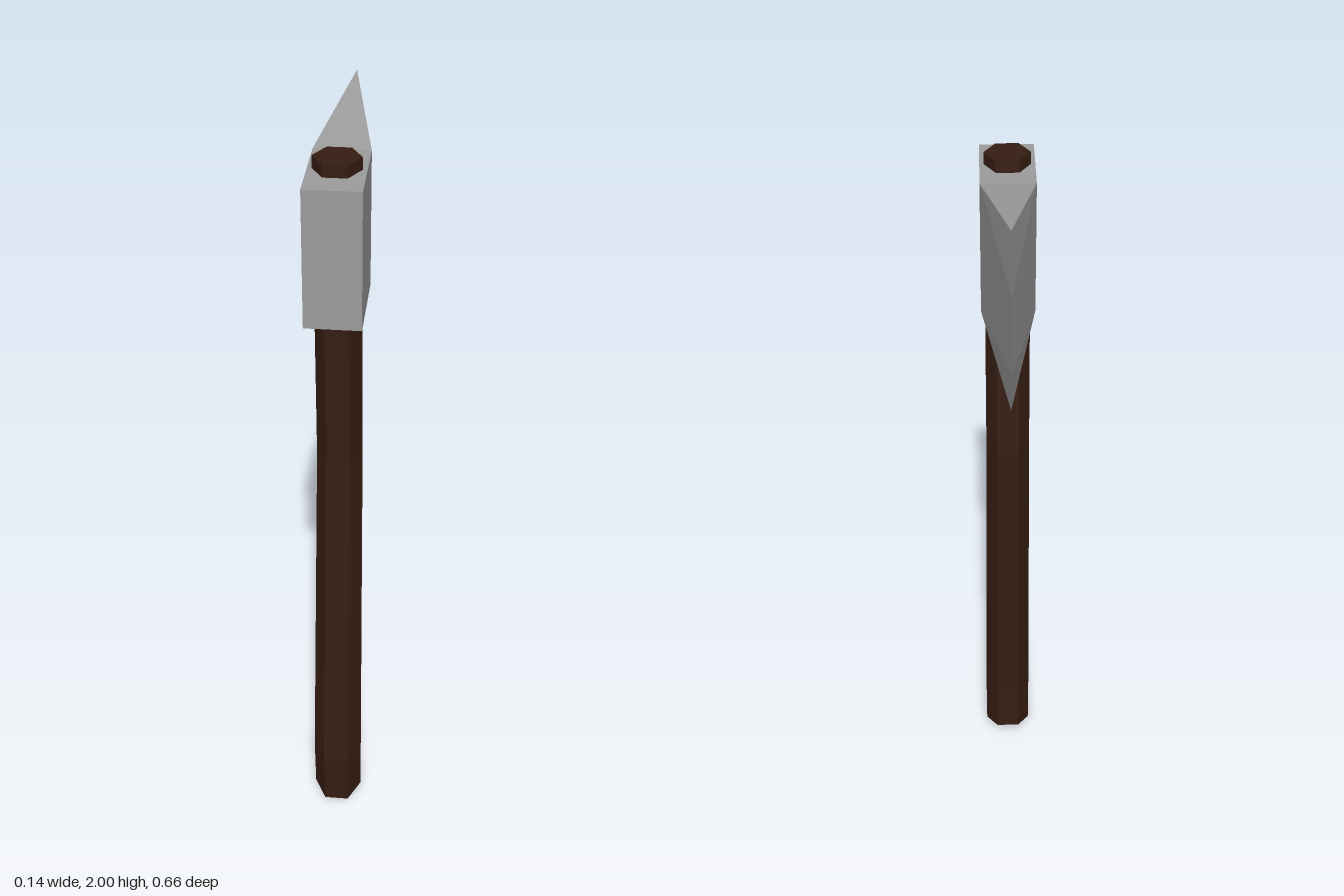
import * as THREE from 'three';

// Flat-shaded geometry from convex polygons (corners counter-clockwise from outside)
function fromPolygons(polygons) {
  const points = [];
  for (const p of polygons) {
    for (let i = 1; i < p.length - 1; i++) points.push(...p[0], ...p[i], ...p[i + 1]);
  }
  const geometry = new THREE.BufferGeometry();
  geometry.setAttribute('position', new THREE.Float32BufferAttribute(points, 3));
  geometry.computeVertexNormals();
  return geometry;
}

// Polygons mirrored across x = 0, with the winding kept outward
const mirrored = (polygons) =>
  polygons.map((p) => p.map(([x, y, z]) => [-x, y, z]).reverse());

// Block with a wedge blade that narrows to a faceted cutting edge
function headGeometry() {
  const w = 0.069, top = 1.942, low = 1.595, front = 0.332, neck = 0.1;
  const A = [w, top, neck], B = [w, low, neck];
  const P = [w, top, front], Q = [w, low, front];
  const edge = [[0, 1.535, -0.272], [0, 1.672, -0.332], [0, 1.866, -0.332], [0, 2, -0.272]];
  const side = [
    [P, Q, B, A],
    [B, edge[0], edge[1]],
    [A, B, edge[1], edge[2]],
    [A, edge[2], edge[3]],
  ];
  const flip = ([x, y, z]) => [-x, y, z];
  const caps = [
    [flip(P), flip(Q), Q, P],
    [flip(A), flip(P), P, A],
    [flip(A), A, edge[3]],
    [B, Q, flip(Q), flip(B)],
    [B, flip(B), edge[0]],
  ];
  return fromPolygons([...side, ...mirrored(side), ...caps]);
}

// Six-sided shaft lofted through rings: [y, z, half width, half depth, tilt]
function handleGeometry() {
  const rings = [
    [0.015, 0.244, 0.066, 0.054, -0.015],
    [0.176, 0.256, 0.067, 0.058, 0],
    [1.143, 0.173, 0.059, 0.05, 0.012],
    [1.973, 0.213, 0.058, 0.052, 0],
  ].map(([y, z, hx, hz, tilt]) =>
    Array.from({ length: 6 }, (_, k) => {
      const a = (k * Math.PI) / 3;
      const s = Math.sin(a) / Math.sin(Math.PI / 3);
      return [hx * Math.cos(a), y + tilt * s, z + hz * s];
    }));
  const polygons = [rings[0], [...rings[rings.length - 1]].reverse()];
  for (let i = 0; i < rings.length - 1; i++) {
    for (let k = 0; k < 6; k++) {
      const n = (k + 1) % 6;
      polygons.push([rings[i][n], rings[i][k], rings[i + 1][k], rings[i + 1][n]]);
    }
  }
  return fromPolygons(polygons);
}

export function createModel() {
  const group = new THREE.Group();
  group.name = 'axe';

  const steel = new THREE.MeshStandardMaterial({ color: 0x9c9c9c, flatShading: true });
  const wood = new THREE.MeshStandardMaterial({ color: 0x361e13, flatShading: true });

  const head = new THREE.Mesh(headGeometry(), steel);
  head.name = 'axeHead';

  const handle = new THREE.Mesh(handleGeometry(), wood);
  handle.name = 'handle';

  group.add(head, handle);
  return group;
}
